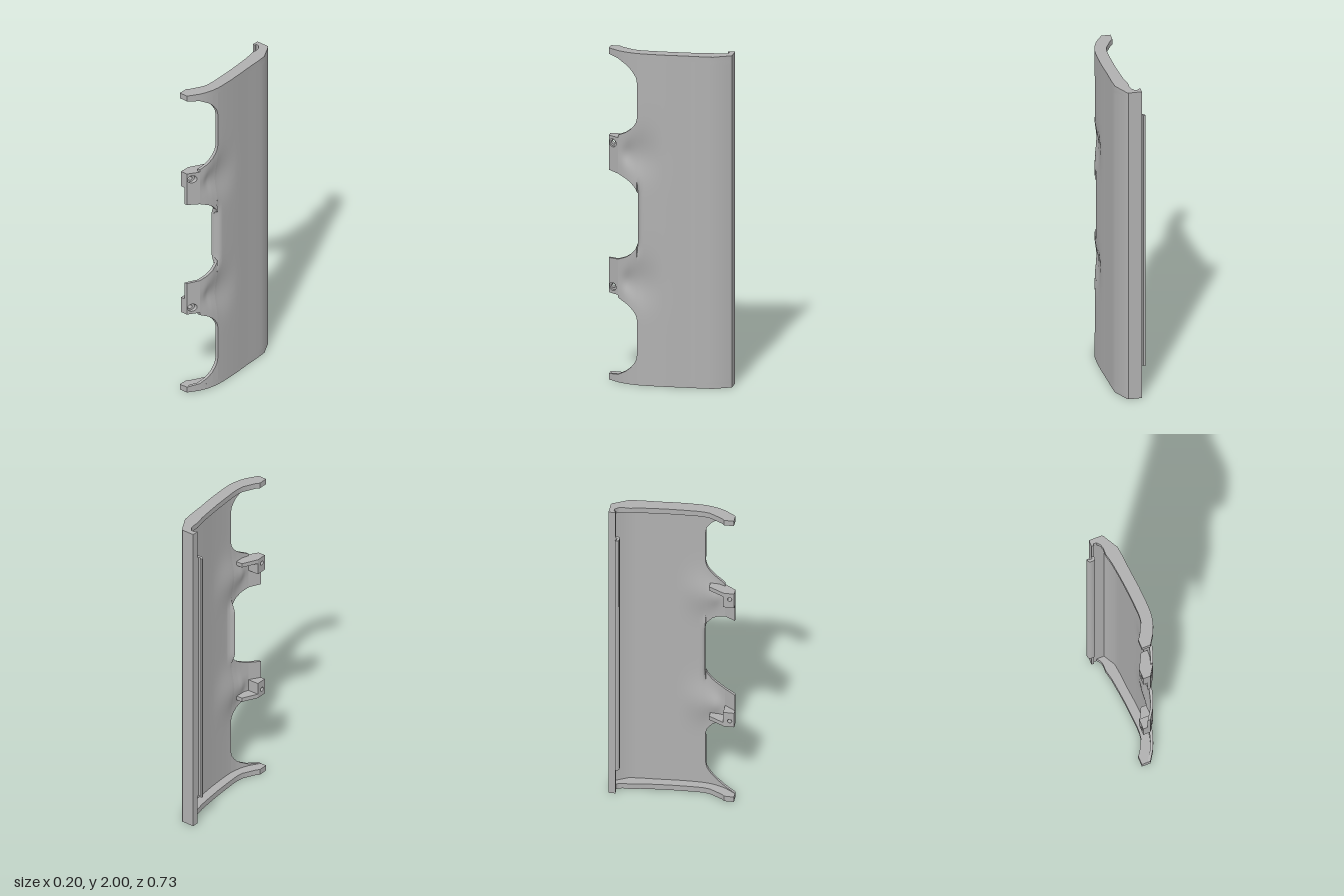
import * as THREE from 'three';
import { toCreasedNormals } from 'three/addons/utils/BufferGeometryUtils.js';

const grey = new THREE.MeshStandardMaterial({ color: 0xb0b0b0 });
grey.name = 'plain grey';

// Outer skin as [z, x] points, back to front
const SKIN = [[-0.365, 0.008], [-0.355, 0.019], [-0.265, 0.068], [-0.2, 0.075], [-0.1, 0.081], [0, 0.09],
  [0.08, 0.094], [0.14, 0.095], [0.18, 0.094], [0.22, 0.088], [0.26, 0.077], [0.3, 0.06], [0.365, 0.017]];
// Cutout edges as [z, distance from mid height]
const MID_CUT = [[0.18, 0.15], [0.185, 0.175], [0.2, 0.195], [0.22, 0.217], [0.25, 0.237], [0.3, 0.258], [0.365, 0.265]];
const END_CUT_LOW = [[0.18, 0.61], [0.185, 0.585], [0.2, 0.56], [0.22, 0.538], [0.25, 0.515], [0.3, 0.49], [0.365, 0.472]];
const END_CUT_HIGH = [[0.18, 0.82], [0.185, 0.85], [0.2, 0.875], [0.22, 0.9], [0.25, 0.925], [0.3, 0.953], [0.365, 0.964]];
const WALL = 0.018;

function lookup(table, z) {
  for (let i = 1; i < table.length; i++) {
    const [z0, v0] = table[i - 1], [z1, v1] = table[i];
    if (z <= z1) return v0 + (v1 - v0) * Math.max(0, (z - z0) / (z1 - z0));
  }
  return table[table.length - 1][1];
}
const smooth = THREE.MathUtils.smoothstep;

// Skin position with dents behind the clips and a rolled lip at the middle cutout
function skin(y, z) {
  const h = Math.abs(y - 1);
  const width = 0.13 - 0.08 * smooth(z, 0.12, 0.3);
  const dent = 0.024 * Math.exp(-(((h - 0.385) / width) ** 2)) * smooth(z, 0, 0.17) * (1 - smooth(z, 0.23, 0.3));
  const t = THREE.MathUtils.clamp((z - 0.145) / 0.035, 0, 1);
  const lip = z <= 0.181 ? 0.03 * t * t * (1 - smooth(h, 0.13, 0.24)) : 0;
  return lookup(SKIN, z) - dent - lip;
}

// Closed thin shell swept through z stations, spanning y from lo(z) to hi(z)
function shell(stations, lo, hi, n) {
  const pos = [], idx = [], ring = 2 * (n + 1);
  for (const z of stations) {
    for (let k = 0; k < ring; k++) {
      const outer = k <= n, j = outer ? k : ring - 1 - k;
      const y = lo(z) + (hi(z) - lo(z)) * j / n;
      pos.push(skin(y, z) - (outer ? 0 : WALL), y, z);
    }
  }
  const last = stations.length - 1;
  for (let i = 0; i < last; i++) {
    for (let k = 0; k < ring; k++) {
      const a = i * ring + k, b = i * ring + (k + 1) % ring;
      idx.push(a, b, a + ring, b, b + ring, a + ring);
    }
  }
  for (let k = 0; k < n; k++) {
    const a = k, b = k + 1, c = ring - 2 - k, d = ring - 1 - k, o = last * ring;
    idx.push(a, d, b, b, d, c);
    idx.push(o + a, o + b, o + d, o + b, o + c, o + d);
  }
  const g = new THREE.BufferGeometry();
  g.setAttribute('position', new THREE.Float32BufferAttribute(pos, 3));
  g.setIndex(idx);
  return toCreasedNormals(g, 0.42);
}

// Upright prism from [x, z] corners
function prism(points, y0, y1) {
  const shape = new THREE.Shape(points.map(([x, z]) => new THREE.Vector2(x, -z)));
  const g = new THREE.ExtrudeGeometry(shape, { depth: y1 - y0, bevelEnabled: false });
  g.rotateX(-Math.PI / 2).translate(0, y0, 0);
  return toCreasedNormals(g, 0.42);
}

// Block with a round hole along x; its two faces follow rules of z
function holedBlock(yMin, yMax, yHole, r, xIn, xOut) {
  const s = new THREE.Shape();
  s.moveTo(-0.365, yMin).lineTo(-0.3, yMin).lineTo(-0.3, yMax).lineTo(-0.365, yMax).closePath();
  const hole = new THREE.Path();
  hole.absarc(-0.338, yHole, r, 0, Math.PI * 2, true);
  s.holes.push(hole);
  const g = new THREE.ExtrudeGeometry(s, { depth: 1, bevelEnabled: false, curveSegments: 20 });
  g.rotateY(Math.PI / 2);
  const p = g.attributes.position;
  for (let i = 0; i < p.count; i++) p.setX(i, p.getX(i) > 0.5 ? xOut(p.getZ(i)) : xIn(p.getZ(i)));
  return toCreasedNormals(g, 0.5);
}

export function createModel() {
  const model = new THREE.Group();
  const add = (name, geometry) => {
    const m = new THREE.Mesh(geometry, grey);
    m.name = name;
    model.add(m);
  };

  // Main skin
  const bodyZ = [-0.36, -0.355, -0.31, -0.265, -0.23, -0.2, -0.15, -0.1, -0.05, 0, 0.03, 0.06, 0.09, 0.12,
    0.14, 0.15, 0.16, 0.165, 0.17, 0.175, 0.18];
  add('panel', shell(bodyZ, () => 0.034, () => 1.966, 96));

  // Back flange and the hooked strip along it
  add('backFlange', prism([[-0.07, -0.365], [0.01, -0.365], [0.02, -0.355], [0.012, -0.335], [-0.055, -0.335],
    [-0.055, -0.325], [-0.07, -0.325]], 0, 2));
  add('hookStrip', prism([[-0.07, -0.34], [-0.07, -0.315], [-0.088, -0.315], [-0.088, -0.322], [-0.101, -0.322],
    [-0.099, -0.31], [-0.094, -0.303], [-0.085, -0.299], [-0.067, -0.299], [-0.058, -0.303], [-0.055, -0.311],
    [-0.055, -0.34]], 0.185, 1.82));

  // End walls closing the top and bottom
  const endOutline = [...SKIN.map(([z, x]) => [x, z]), [-0.037, 0.365], [-0.037, 0.308], [-0.022, 0.292],
    [0.018, 0.215], [0.024, 0.18], [0.025, 0.14], [0.022, 0.07], [0.017, -0.02], [0.01, -0.1], [0, -0.19],
    [-0.013, -0.25], [-0.012, -0.29], [-0.018, -0.315], [-0.035, -0.335], [-0.055, -0.335], [-0.07, -0.335], [-0.07, -0.365]];
  add('bottomWall', prism(endOutline, 0, 0.035));
  add('topWall', prism(endOutline, 1.965, 2));

  const armZ = [0.18, 0.183, 0.187, 0.193, 0.2, 0.21, 0.22, 0.235, 0.25, 0.265, 0.28, 0.3];
  const tipZ = [0.3, 0.32, 0.345, 0.365];
  const slope = (z) => 0.06 - (z - 0.3) * 0.6615;
  for (const side of [-1, 1]) {
    const at = (h) => 1 + side * h;
    const span = (a, b) => [Math.min(at(a), at(b)), Math.max(at(a), at(b))];
    const piece = (stations, near, far, n) => side > 0
      ? shell(stations, (z) => at(near(z)), (z) => at(far(z)), n)
      : shell(stations, (z) => at(far(z)), (z) => at(near(z)), n);

    // Clip arms between the cutouts
    add('clipArm', piece(armZ, (z) => lookup(MID_CUT, z), (z) => lookup(END_CUT_LOW, z), 24));
    add('clipPlate', piece(tipZ, (z) => lookup(MID_CUT, z), () => 0.375, 4));

    // Screw block: narrow hole inside, wide pocket outside
    const [y0, y1] = span(0.375, 0.474);
    add('screwBlock', holedBlock(y0, y1, at(0.433), 0.013, () => -0.028, (z) => slope(z) - 0.02));
    add('screwPocket', holedBlock(y0, y1, at(0.433), 0.024, (z) => slope(z) - 0.02, slope));
    add('clipGusset', prism([[-0.028, 0.302], [0.02, 0.21], [0.06, 0.21], [0.055, 0.302]], ...span(0.448, 0.474)));

    // Curved horns at the ends
    add('endHorn', piece([...armZ, ...tipZ.slice(1)], (z) => lookup(END_CUT_HIGH, z), () => 0.966, 8));
  }
  return model;
}
